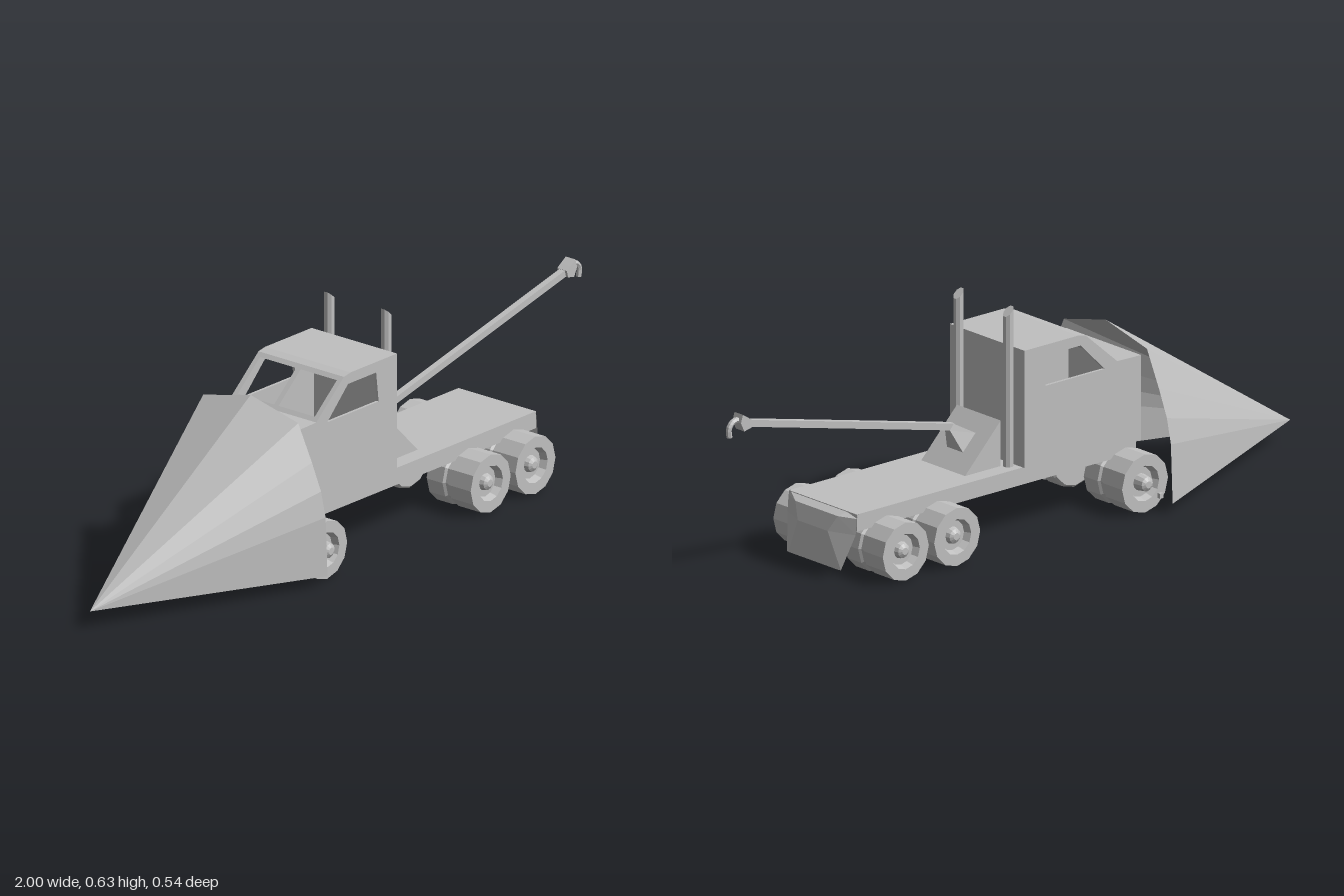
import * as THREE from 'three';

const grey = new THREE.MeshStandardMaterial({ color: 0xc0c0c0, flatShading: true, side: THREE.DoubleSide });
grey.name = 'plain grey';

function add(parent, name, geometry, x = 0, y = 0, z = 0) {
  const mesh = new THREE.Mesh(geometry, grey);
  mesh.name = name;
  mesh.position.set(x, y, z);
  parent.add(mesh);
  return mesh;
}

function outline(points, Type = THREE.Shape) {
  return new Type(points.map(([x, y]) => new THREE.Vector2(x, y)));
}

// Prism with an x-y outline, centred on z
function prism(shape, depth) {
  return new THREE.ExtrudeGeometry(shape, { depth, bevelEnabled: false, curveSegments: 6 }).translate(0, 0, -depth / 2);
}

// Surface joining rows that hold the same number of points
function skin(rows) {
  const position = [];
  for (let i = 0; i < rows.length - 1; i++) {
    for (let j = 0; j < rows[i].length - 1; j++) {
      const a = rows[i][j], b = rows[i][j + 1], c = rows[i + 1][j + 1], d = rows[i + 1][j];
      position.push(...a, ...d, ...c, ...a, ...c, ...b);
    }
  }
  const geometry = new THREE.BufferGeometry();
  geometry.setAttribute('position', new THREE.Float32BufferAttribute(position, 3));
  geometry.computeVertexNormals();
  return geometry;
}

// Sheet that follows an x-y profile across the vehicle
function sheet(profile, half) {
  return skin(profile.map(([x, y]) => [[x, y, half], [x, y, -half]]));
}

// Pointed plough shell, open at the back and below
function addPlough(parent) {
  const side = [[0.27, 0.03], [0.263, 0.195], [0.247, 0.265], [0.215, 0.34], [0.167, 0.44], [0.05, 0.468]];
  const rim = [...side, [0, 0.48], ...side.map(([z, y]) => [-z, y]).reverse()];
  const position = [];
  for (let i = 0; i < rim.length - 1; i++) {
    const [z0, y0] = rim[i], [z1, y1] = rim[i + 1];
    position.push(-1, 0.05, 0, -0.342, y0, z0, -0.342, y1, z1);
  }
  const geometry = new THREE.BufferGeometry();
  geometry.setAttribute('position', new THREE.Float32BufferAttribute(position, 3));
  geometry.computeVertexNormals();
  add(parent, 'plough', geometry);
  add(parent, 'ploughBar', new THREE.BoxGeometry(0.012, 0.014, 0.44), -0.348, 0.038, 0);
}

// Hollow cab with open side windows and a split windscreen
function addCab(parent) {
  const cab = new THREE.Group();
  cab.name = 'cab';
  parent.add(cab);
  const wall = outline([[-0.345, 0.175], [-0.25, 0.19], [0.07, 0.19], [0.07, 0.52], [-0.12, 0.52],
    [-0.147, 0.515], [-0.26, 0.417], [-0.345, 0.415]]);
  wall.holes.push(outline([[-0.215, 0.405], [-0.13, 0.49], [-0.015, 0.49], [-0.005, 0.405]], THREE.Path));
  for (const s of [1, -1]) add(cab, 'cabSide', prism(wall, 0.008), 0, 0, s * 0.146);
  add(cab, 'hood', sheet([[-0.345, 0.175], [-0.345, 0.415], [-0.26, 0.417]], 0.15));
  add(cab, 'roofAndBack', sheet([[-0.147, 0.515], [-0.12, 0.52], [0.07, 0.52], [0.07, 0.19], [-0.25, 0.19], [-0.345, 0.175]], 0.15));

  // Windscreen frame is drawn flat, then laid on the slope
  const frame = outline([[-0.15, 0], [0.15, 0], [0.15, 1], [-0.15, 1]]);
  for (const [a, b] of [[-0.135, -0.008], [0.008, 0.135]]) {
    frame.holes.push(outline([[a, 0.1], [a, 0.9], [b, 0.9], [b, 0.1]], THREE.Path));
  }
  const screen = new THREE.ShapeGeometry(frame);
  const p = screen.attributes.position;
  for (let i = 0; i < p.count; i++) {
    const u = p.getX(i), v = p.getY(i);
    p.setXYZ(i, -0.26 + 0.113 * v, 0.417 + 0.098 * v, u);
  }
  screen.computeVertexNormals();
  add(cab, 'windscreenFrame', screen);
}

// Paired tyres with a dished rim, outer face towards +z
function wheelGeometry(hub) {
  const profile = [[0, 0.06], [0.076, 0.06], [0.082, 0.066], [0.082, 0.121], [0.076, 0.127], [0.076, 0.14],
    [0.082, 0.142], [0.082, 0.22], [0.05, 0.22], [0.042, 0.2], [0.024, 0.2], [0.02, hub], [0.01, hub + 0.006], [0, hub + 0.006]];
  return new THREE.LatheGeometry(profile.map(([r, y]) => new THREE.Vector2(r, y)), 12).rotateX(Math.PI / 2);
}

function addWheels(parent) {
  for (const [name, x, hub] of [['frontWheel', -0.297, 0.229], ['middleWheel', 0.372, 0.212], ['rearWheel', 0.555, 0.212]]) {
    for (const turn of [0, Math.PI]) add(parent, name, wheelGeometry(hub), x, 0.082, 0).rotation.y = turn;
  }
}

// Flat bed and its faceted tail flap
function addBed(parent) {
  add(parent, 'bed', new THREE.BoxGeometry(0.995, 0.048, 0.272), 0.1575, 0.163, 0);
  const row = (xOut, xIn, y, out, inner) => [[xOut, y, out], [xIn, y, inner], [xIn, y, -inner], [xOut, y, -out]];
  add(parent, 'tailFlap', skin([
    row(0.65, 0.65, 0.187, 0.137, 0.1),
    row(0.656, 0.678, 0.175, 0.137, 0.085),
    row(0.66, 0.692, 0.13, 0.137, 0.06),
    row(0.687, 0.689, 0.03, 0.108, 0.1),
  ]));
}

// Exhaust stacks with slanted tops
function addStacks(parent) {
  for (const s of [1, -1]) {
    const geometry = new THREE.CylinderGeometry(0.0145, 0.0145, 0.42, 8).rotateY(Math.PI / 8);
    const p = geometry.attributes.position;
    for (let i = 0; i < p.count; i++) {
      if (p.getY(i) > 0) p.setY(i, 0.225 - p.getX(i) * 0.9);
    }
    add(parent, 'exhaustStack', geometry, 0.084, 0.397, s * 0.1);
  }
}

// Crane: wedge mount, tapered foot, long boom, head and hook
function addCrane(parent) {
  const crane = new THREE.Group();
  crane.name = 'crane';
  parent.add(crane);
  add(crane, 'craneMount', prism(outline([[0.1, 0.187], [0.227, 0.187], [0.1, 0.315]]), 0.176));

  const ring = (a, b, half) => [[...a, half], [...a, -half], [...b, -half], [...b, half], [...a, half]];
  add(crane, 'craneFoot', skin([
    ring([0.14, 0.275], [0.185, 0.23], 0.032),
    ring([0.198, 0.308], [0.212, 0.292], 0.01),
  ]));

  const start = new THREE.Vector2(0.195, 0.298), end = new THREE.Vector2(0.94, 0.476);
  const span = end.clone().sub(start);
  const boom = add(crane, 'boom', new THREE.BoxGeometry(span.length(), 0.019, 0.019),
    (start.x + end.x) / 2, (start.y + end.y) / 2, 0);
  boom.rotation.z = span.angle();

  add(crane, 'boomHead', prism(outline([[0.925, 0.462], [0.95, 0.457], [0.962, 0.482], [0.955, 0.505], [0.935, 0.492], [0.92, 0.482]]), 0.034));
  const hookPath = new THREE.CatmullRomCurve3([[0.95, 0.487], [0.975, 0.486], [0.99, 0.468], [0.988, 0.444]]
    .map(([x, y]) => new THREE.Vector3(x, y, 0)));
  add(crane, 'hook', new THREE.TubeGeometry(hookPath, 8, 0.008, 6));
}

export function createModel() {
  const model = new THREE.Group();
  model.name = 'ploughTowTruck';
  addPlough(model);
  const truck = new THREE.Group();
  truck.name = 'truck';
  truck.position.z = 0.01;
  model.add(truck);
  addCab(truck);
  addBed(truck);
  addWheels(truck);
  addStacks(truck);
  addCrane(truck);
  return model;
}
